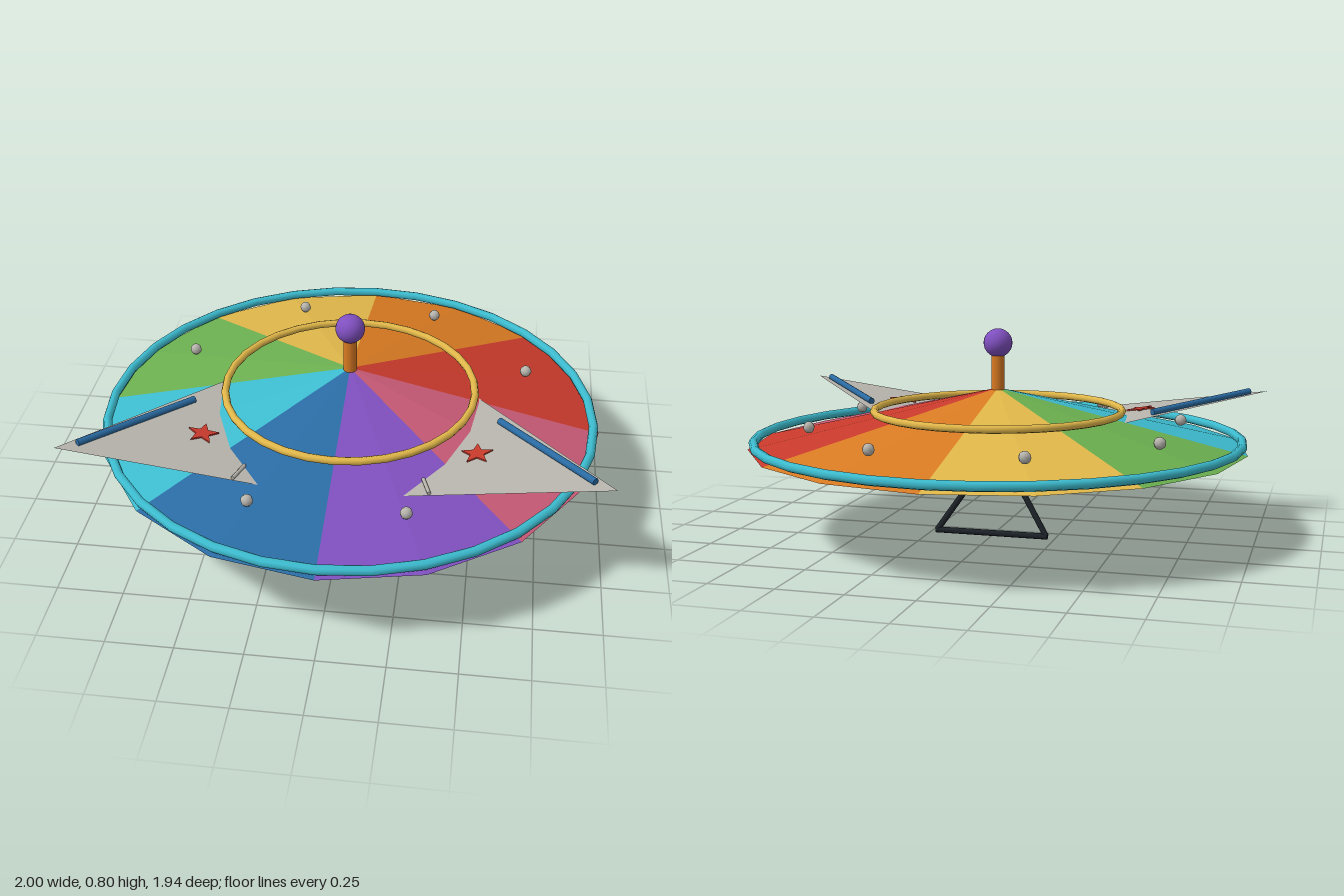
import * as THREE from 'three';

const mat = (name, color, opts = {}) => {
  const m = new THREE.MeshStandardMaterial({ color, side: THREE.DoubleSide, ...opts });
  m.name = name;
  return m;
};

export function createModel() {
  const model = new THREE.Group();
  model.name = 'canopyGlider';

  const red = mat('red', 0xc83a2c), orange = mat('orange', 0xd97a22), yellow = mat('yellow', 0xe2b84a);
  const green = mat('green', 0x6cb050), cyan = mat('cyan', 0x3cbccf), blue = mat('blue', 0x2a6ca4);
  const purple = mat('purple', 0x8050c0), pink = mat('pink', 0xc85a76);
  const grey = mat('grey', 0xb8b5ae), black = mat('black', 0x1c2228);

  const add = (name, geometry, material, x = 0, y = 0, z = 0) => {
    const mesh = new THREE.Mesh(geometry, material);
    mesh.name = name;
    mesh.position.set(x, y, z);
    model.add(mesh);
    return mesh;
  };
  const triangle = (...points) => {
    const g = new THREE.BufferGeometry();
    g.setAttribute('position', new THREE.Float32BufferAttribute(points.flat(), 3));
    g.computeVertexNormals();
    return g;
  };
  // Round rod between two points
  const rod = (name, from, to, radius, material) => {
    const a = new THREE.Vector3(...from), b = new THREE.Vector3(...to);
    const dir = b.clone().sub(a);
    const mesh = add(name, new THREE.CylinderGeometry(radius, radius, dir.length(), 8), material);
    mesh.position.copy(a).add(b).multiplyScalar(0.5);
    mesh.quaternion.setFromUnitVectors(new THREE.Vector3(0, 1, 0), dir.normalize());
    return mesh;
  };

  // Shallow sixteen-sided canopy, two facets to each coloured panel
  const R = 0.97, rimY = 0.347, apexY = 0.572;
  const rimPoint = (i) => {
    const a = (i * Math.PI) / 8;
    return [R * Math.cos(a), rimY, -R * Math.sin(a)];
  };
  [red, orange, yellow, green, cyan, blue, purple, pink].forEach((material, i) => {
    const apex = [0, apexY, 0];
    const facets = [2 * i, 2 * i + 1].flatMap((k) => [apex, rimPoint(k), rimPoint(k + 1)]);
    add('canopyPanel', triangle(...facets), material);
    // Studs around the canopy
    const a = ((i + 0.5) * Math.PI) / 4;
    add('canopyStud', new THREE.SphereGeometry(0.023, 8, 6), grey, 0.735 * Math.cos(a), 0.43, -0.735 * Math.sin(a));
  });

  // Hoops
  const hoop = (name, radius, tube, y, material) =>
    add(name, new THREE.TorusGeometry(radius, tube, 8, 32).rotateX(Math.PI / 2), material, 0, y, 0);
  hoop('rimHoop', 0.948, 0.018, 0.375, cyan);
  hoop('innerHoop', 0.485, 0.015, 0.485, yellow);

  // Mast and ball
  add('mast', new THREE.CylinderGeometry(0.026, 0.026, 0.18, 16), orange, 0, 0.62, 0);
  add('mastBall', new THREE.SphereGeometry(0.056, 24, 16), purple, 0, 0.748, 0);

  // Delta wing: height rises with distance from the keel
  const wingY = (x) => 0.39 + 0.13 * Math.abs(x);
  const noseZ = -0.63, tailZ = 0.58;
  const starShape = new THREE.Shape();
  for (let i = 0; i < 10; i++) {
    const a = Math.PI / 2 + (i * Math.PI) / 5, r = i % 2 ? 0.026 : 0.06;
    starShape[i ? 'lineTo' : 'moveTo'](r * Math.cos(a), r * Math.sin(a));
  }
  for (const s of [1, -1]) {
    const nose = [0, wingY(0), noseZ], tail = [0, wingY(0), tailZ], tip = [s, wingY(1), tailZ];
    add('wing', s > 0 ? triangle(nose, tail, tip) : triangle(nose, tip, tail), grey);

    // Leading edge spar, batten and spreader
    const onWing = (x, z, lift) => [s * x, wingY(x) + lift, z];
    rod('wingSpar', onWing(0.585, 0.15, 0.011), onWing(0.925, 0.54, 0.011), 0.013, blue);
    rod('wingBatten', onWing(0.325, 0.49, 0.006), onWing(0.352, 0.575, 0.006), 0.007, grey);
    rod('spreader', onWing(0, 0.37, -0.014), onWing(0.45, 0.36, -0.014), 0.011, black);

    // Painted star lying on the wing
    const starGeo = new THREE.ExtrudeGeometry(starShape, { depth: 0.006, bevelEnabled: false });
    const star = add('wingStar', starGeo.rotateX(-Math.PI / 2), red, s * 0.51, wingY(0.51) + 0.002, 0.345);
    star.rotation.z = s * Math.atan(0.13);

    // Control frame legs
    rod('controlFrameLeg', [0, 0.345, 0], [s * 0.22, 0.014, -0.1], 0.012, black);
  }
  rod('controlFrameBar', [-0.225, 0.013, -0.1], [0.225, 0.013, -0.1], 0.012, black);

  // Keel fin
  const finShape = new THREE.Shape();
  finShape.moveTo(-noseZ, wingY(0));
  finShape.lineTo(-tailZ, wingY(0));
  finShape.lineTo(-tailZ, 0.23);
  finShape.closePath();
  const finGeo = new THREE.ExtrudeGeometry(finShape, { depth: 0.012, bevelEnabled: false });
  add('keelFin', finGeo.translate(0, 0, -0.006).rotateY(Math.PI / 2), grey);

  // Hub under the keel
  add('keelHub', new THREE.ConeGeometry(0.05, 0.11, 16).rotateX(Math.PI), grey, 0, 0.31, 0);

  return model;
}
